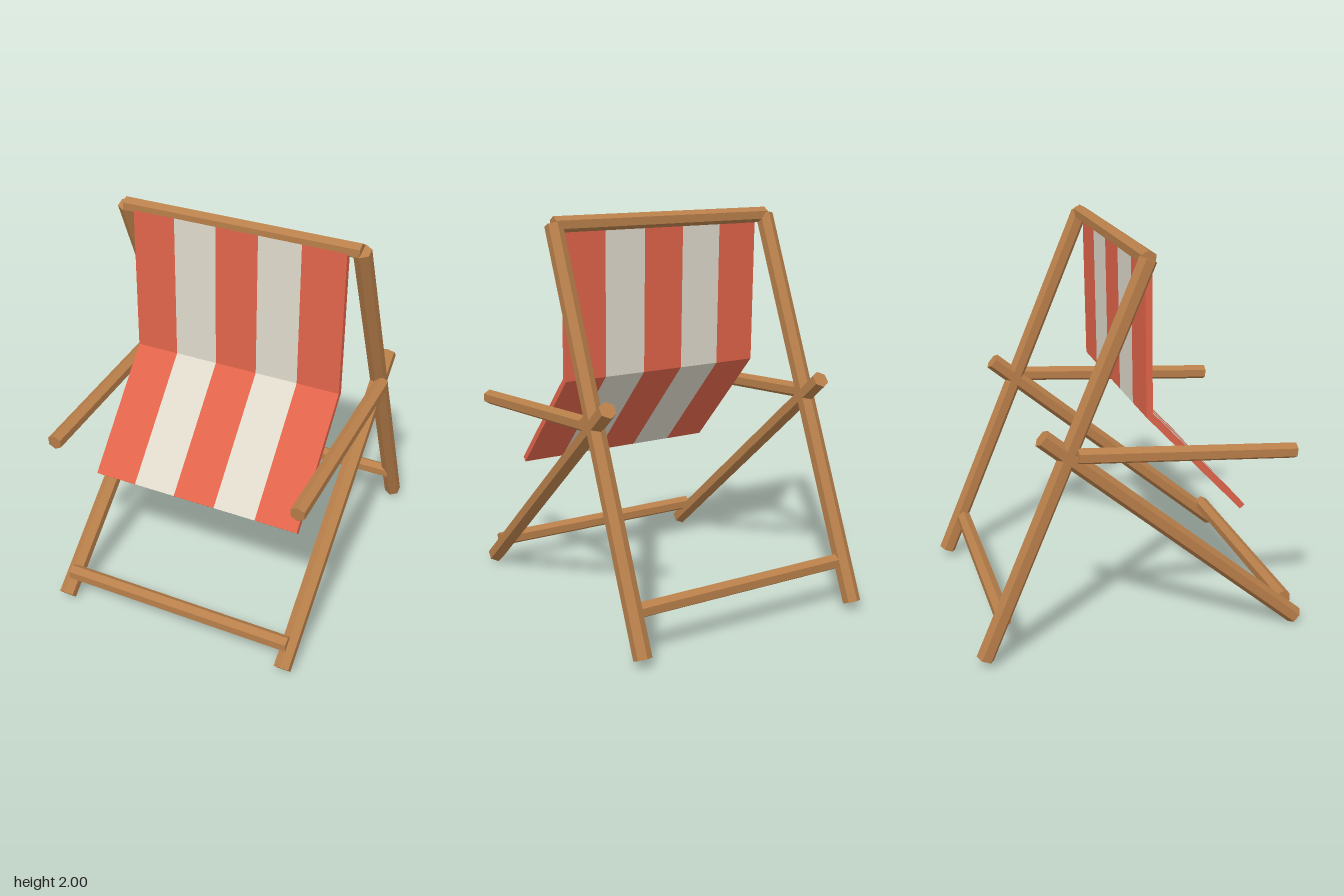
import * as THREE from 'three';

const material = (color) => new THREE.MeshStandardMaterial({ color, flatShading: true });

export function createModel() {
  const group = new THREE.Group();
  const wood = material(0xb87f4a);
  const red = material(0xe0644a);
  const cream = material(0xded9cb);

  // Hexagonal bar in a vertical plane at x, between two [y, z] points
  function sideBar(name, x, [y0, z0], [y1, z1], radius) {
    const length = Math.hypot(y1 - y0, z1 - z0);
    const bar = new THREE.Mesh(new THREE.CylinderGeometry(radius, radius, length, 6), wood);
    bar.position.set(x, (y0 + y1) / 2, (z0 + z1) / 2);
    bar.rotation.x = Math.atan2(z1 - z0, y1 - y0);
    bar.name = name;
    group.add(bar);
  }

  // Hexagonal bar across the chair, one edge upward
  function crossBar(name, y, z) {
    const geometry = new THREE.CylinderGeometry(0.04, 0.04, 1.25, 6);
    geometry.rotateY(Math.PI / 2).rotateZ(Math.PI / 2);
    const bar = new THREE.Mesh(geometry, wood);
    bar.position.set(0, y, z);
    bar.name = name;
    group.add(bar);
  }

  // Crossed legs and armrests
  for (const [side, s] of [['left', 1], ['right', -1]]) {
    sideBar(side + 'BackLeg', s * 0.625, [0.045, -0.803], [1.96, 0.003], 0.045);
    sideBar(side + 'FrontLeg', s * 0.625, [0.038, 0.817], [1.155, -0.502], 0.045);
    sideBar(side + 'Armrest', s * 0.655, [0.975, 0.757], [1.06, -0.34], 0.04);
  }

  crossBar('topRail', 1.96, 0.005);
  crossBar('backRail', 0.24, -0.705);
  crossBar('frontRail', 0.147, 0.752);

  // Bent cloth: side profile as [z, y], extruded once per stripe
  const profile = [[0.04, 1.95], [0.053, 1.195], [0.54, 0.673], [0.517, 0.652], [0.022, 1.183], [0.006, 1.95]];
  const shape = new THREE.Shape(profile.map(([z, y]) => new THREE.Vector2(-z, y)));
  const cloth = new THREE.Group();
  cloth.name = 'clothSeat';
  const stripeWidth = 0.226;
  for (let i = 0; i < 5; i++) {
    const geometry = new THREE.ExtrudeGeometry(shape, { depth: stripeWidth, bevelEnabled: false });
    geometry.rotateY(Math.PI / 2);
    const stripe = new THREE.Mesh(geometry, i % 2 ? cream : red);
    stripe.position.x = (i - 2.5) * stripeWidth;
    stripe.name = 'clothStripe' + (i + 1);
    cloth.add(stripe);
  }
  group.add(cloth);

  return group;
}
